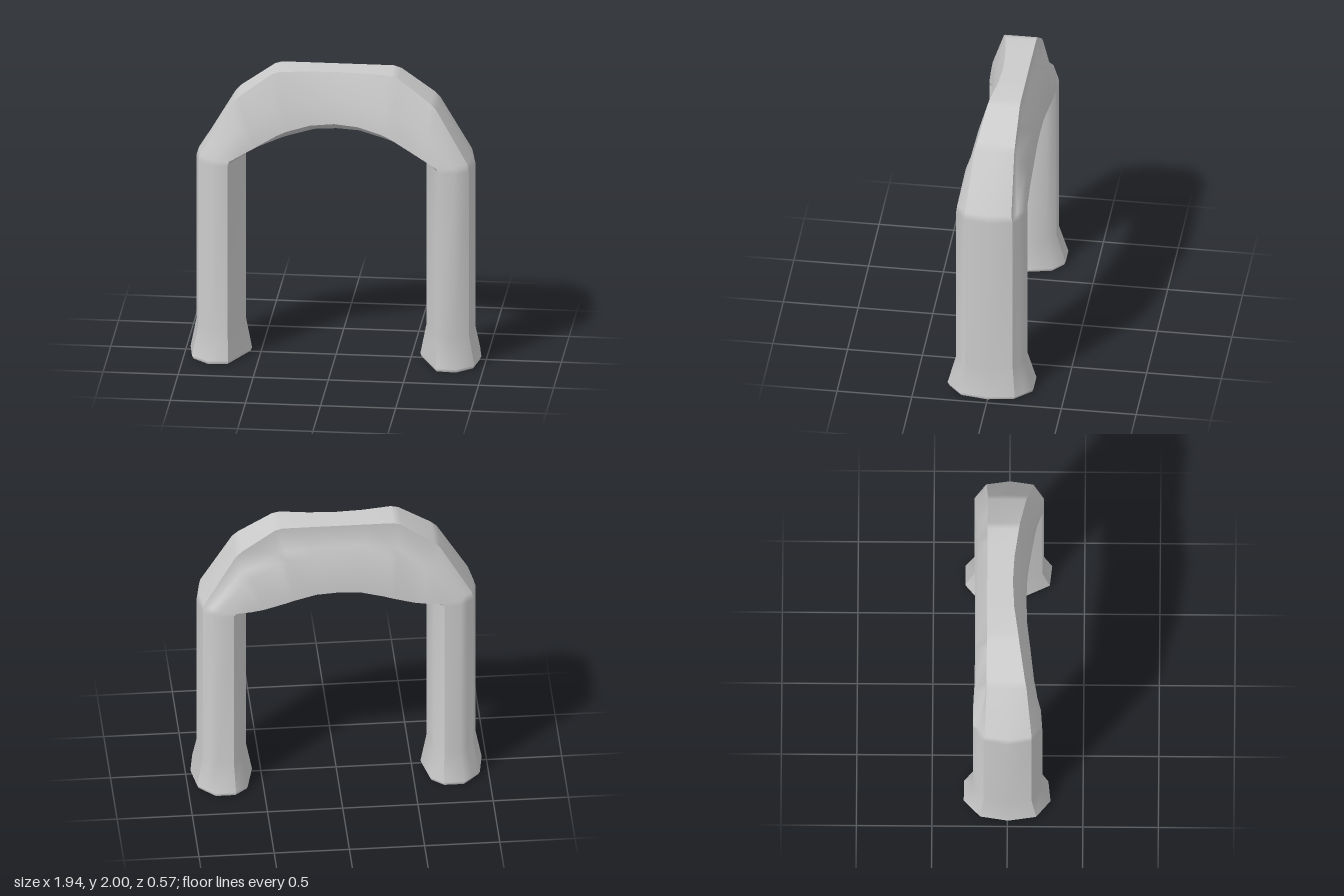
import * as THREE from 'three';

const lerp = THREE.MathUtils.lerp;

// One cross-section row: outer x,y | front inner x,y | inner middle x,y | back inner x,y |
// z of: front outer, front bulge, front inner, inner middle, back inner, back outer | k: 0 = leg, 1 = arch
const leg = (y, s) => [s[0], y, s[1], y, s[2], y, s[1], y, ...s.slice(3), 0];
const shaft = [0.9, 0.7, 0.6, 0.16, 0.23, 0.22, -0.01, -0.23, -0.16];
const flare = [0.94, 0.69, 0.56, 0.19, 0.285, 0.27, -0.01, -0.29, -0.18];
const sole = [0.93, 0.695, 0.57, 0.18, 0.275, 0.26, -0.01, -0.28, -0.17];

const arch = [
  [0.89, 1.43, 0.69, 1.41, 0.605, 1.4, 0.68, 1.4, 0.16, 0.225, 0.22, -0.01, -0.23, -0.15, 0.2],
  [0.68, 1.79, 0.6, 1.455, 0.56, 1.42, 0.58, 1.405, 0.125, 0.19, 0.19, -0.03, -0.225, -0.14, 0.8],
  [0.64, 1.83, 0.52, 1.5, 0.5, 1.44, 0.5, 1.415, 0.115, 0.17, 0.175, -0.05, -0.22, -0.14, 1],
  [0.42, 1.985, 0.38, 1.58, 0.36, 1.5, 0.36, 1.455, 0.075, 0.14, 0.155, -0.05, -0.22, -0.14, 1],
  [0.37, 2, 0.32, 1.607, 0.3, 1.52, 0.3, 1.475, 0.068, 0.13, 0.147, -0.05, -0.22, -0.14, 1],
  [0.18, 2, 0.16, 1.65, 0.15, 1.565, 0.15, 1.515, 0.04, 0.11, 0.125, -0.05, -0.22, -0.14, 1],
  [0, 2, 0, 1.665, 0, 1.575, 0, 1.525, 0.03, 0.1, 0.12, -0.05, -0.22, -0.14, 1],
];

// Ten points around the section, from the outer middle over the front to the inside and back
function ring([ox, oy, fx, fy, mx, my, bx, by, zo, zf, zi, zm, zb, zob, k]) {
  const front = (t, z) => [lerp(ox, fx, t), lerp(oy, fy, t), z];
  const back = (t, z) => [lerp(ox, bx, t), lerp(oy, by, t), z];
  return [
    [ox + 0.028 * (1 - k), oy, (zo + zob) / 2],
    [ox, oy, zo],
    front(lerp(0.45, 0.56, k), zf),
    [fx, fy, zi],
    [mx, my, zm],
    [lerp(mx, bx, 0.35), lerp(my, by, 0.6), lerp(zm, zb, 0.74)],
    [bx, by, zb],
    back(lerp(0.45, 0.42, k), lerp(zb, zb + 0.01, k)),
    back(lerp(0.22, 0.34, k), lerp(zob, zb, 0.5 * (1 - k))),
    [ox, oy, zob],
  ];
}

// Strip along the whole path through the given ring points: smooth inside, sharp at its borders
function panel(rings, ids) {
  const n = ids.length;
  const pos = rings.flatMap((r) => ids.flatMap((j) => r[j]));
  const index = [];
  for (let i = 0; i < rings.length - 1; i++) {
    for (let j = 0; j < n - 1; j++) {
      const a = i * n + j, c = a + n;
      index.push(a, c, a + 1, a + 1, c, c + 1);
    }
  }
  return surface(pos, index);
}

function surface(pos, index) {
  const g = new THREE.BufferGeometry();
  g.setAttribute('position', new THREE.Float32BufferAttribute(pos, 3));
  g.setIndex(index);
  g.computeVertexNormals();
  return g;
}

function soleCap(r, flip) {
  const index = [];
  for (let j = 1; j < r.length - 1; j++) index.push(0, flip ? j + 1 : j, flip ? j : j + 1);
  return surface(r.flat(), index);
}

export function createModel() {
  const group = new THREE.Group();
  group.name = 'archway';
  const material = new THREE.MeshStandardMaterial({ color: 0xcccccc });
  const add = (name, geometry) => {
    const mesh = new THREE.Mesh(geometry, material);
    mesh.name = name;
    group.add(mesh);
  };

  // Left leg and half arch, then the same sections mirrored down the right leg
  const half = [leg(0, sole), leg(0.025, flare), leg(0.23, shaft), leg(1.38, shaft), ...arch].map(ring);
  const mirrored = half.slice(0, -1).reverse().map((r) => r.map(([x, y, z]) => [-x, y, z]));
  const rings = [...half, ...mirrored];

  // Four faces of the arch, with sharp edges between them
  add('outerFace', panel(rings, [9, 0, 1]));
  add('frontFace', panel(rings, [1, 2, 3]));
  add('innerFace', panel(rings, [3, 4, 5, 6]));
  add('backFace', panel(rings, [6, 7, 8, 9]));

  // Flat undersides of the feet
  add('leftSole', soleCap(rings[0], false));
  add('rightSole', soleCap(rings[rings.length - 1], true));
  return group;
}
